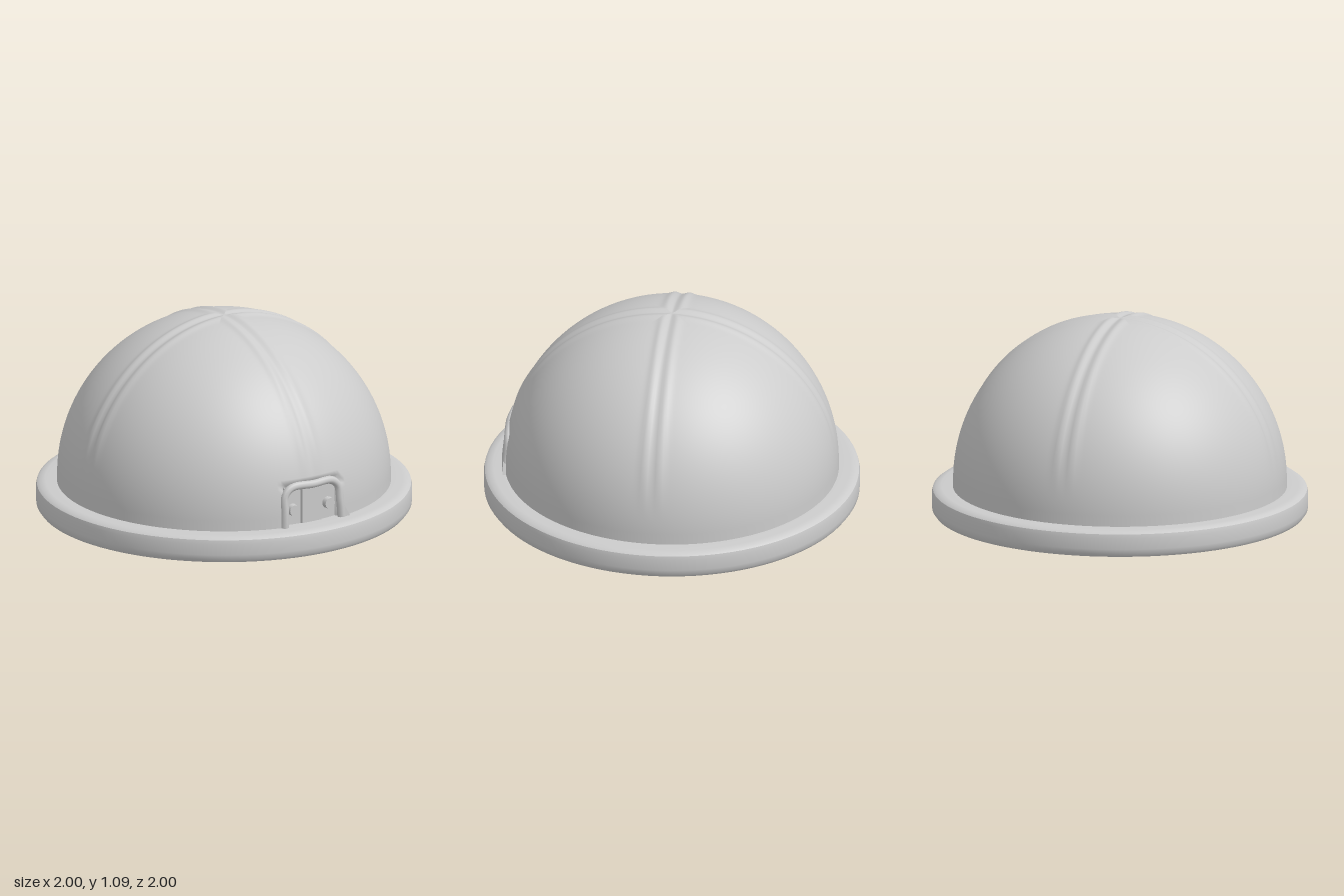
import * as THREE from 'three';
import { mergeVertices, toCreasedNormals } from 'three/addons/utils/BufferGeometryUtils.js';

const grey = new THREE.MeshStandardMaterial({ color: 0xcccccc, side: THREE.DoubleSide });
const R = 0.887, CY = 0.2;

function add(parent, name, geometry, x = 0, y = 0, z = 0) {
  const mesh = new THREE.Mesh(geometry, grey);
  mesh.name = name;
  mesh.position.set(x, y, z);
  parent.add(mesh);
  return mesh;
}

const lathe = (pts, n) => new THREE.LatheGeometry(pts.map(p => new THREE.Vector2(...p)), n);

// Depth of the dome's front surface at a given x, y
const domeZ = (x, y) => Math.sqrt(R * R - Math.max(0, y - CY) ** 2 - x * x);

// Dome with two crossing seams and a pressed-in window for the latch
function domeGeometry() {
  const pts = [[R + 0.002, 0.13]];
  for (let i = 0; i <= 56; i++) {
    const a = (i / 56) * Math.PI / 2;
    pts.push([R * Math.cos(a), CY + R * Math.sin(a)]);
  }
  let g = lathe(pts, 256);
  g.deleteAttribute('uv');
  g.deleteAttribute('normal');
  g = mergeVertices(g, 1e-4);
  const p = g.attributes.position;
  for (let i = 0; i < p.count; i++) {
    let x = p.getX(i), y = p.getY(i), z = p.getZ(i);
    const d = Math.min(Math.abs(x), Math.abs(z));
    const fade = THREE.MathUtils.smoothstep(y, 0.3, 0.6);
    const seam = 0.009 * Math.exp(-(((d - 0.04) / 0.022) ** 2)) - 0.003 * Math.exp(-((d / 0.015) ** 2));
    const k = 1 + fade * seam;
    x *= k;
    z *= k;
    y = CY + (y - CY) * k;
    if (z > 0 && Math.abs(x) < 0.17 && y < 0.375) z = Math.min(z, 0.825);
    p.setXYZ(i, x, y, z);
  }
  g.computeVertexNormals();
  return g;
}

// Curved block between two radii, lying flat and extruded upward
function arcBlock(r0, r1, a0, a1, h) {
  const s = new THREE.Shape();
  s.absarc(0, 0, r1, a0, a1, false);
  s.absarc(0, 0, r0, a1, a0, true);
  const g = new THREE.ExtrudeGeometry(s, {
    depth: h - 0.02, curveSegments: 6, bevelThickness: 0.01, bevelSize: 0.01, bevelSegments: 1,
  });
  return g.translate(0, 0, 0.01).rotateX(-Math.PI / 2);
}

function createLatch() {
  const latch = new THREE.Group();
  latch.name = 'latch';
  // Arched frame following the dome
  const path = [[-0.18, 0.15], [-0.178, 0.25], [-0.172, 0.34], [-0.13, 0.378], [0, 0.38],
    [0.12, 0.378], [0.162, 0.34], [0.172, 0.25], [0.18, 0.15]]
    .map(([x, y]) => new THREE.Vector3(x, y, domeZ(x, y) - 0.002));
  add(latch, 'latchFrame', new THREE.TubeGeometry(new THREE.CatmullRomCurve3(path), 48, 0.022, 8));
  // Recessed plate, raised centre strip and two bolts
  add(latch, 'latchPlate', new THREE.BoxGeometry(0.33, 0.23, 0.02), 0, 0.26, 0.825);
  add(latch, 'latchStrip', new THREE.BoxGeometry(0.12, 0.2, 0.03), 0, 0.26, 0.84);
  for (const x of [-0.115, 0.11]) {
    const bolt = new THREE.CylinderGeometry(0.03, 0.033, 0.05, 12).rotateX(Math.PI / 2);
    add(latch, 'latchBolt', bolt, x, 0.25, 0.84);
  }
  // Small wedge beside the frame
  const wedge = new THREE.Shape([[0, 0], [0.06, 0], [0.02, 0.07]].map(p => new THREE.Vector2(...p)));
  add(latch, 'latchWedge', new THREE.ExtrudeGeometry(wedge, { depth: 0.05, bevelEnabled: false }),
    0.17, 0.16, 0.83);
  return latch;
}

function createUnderside() {
  const under = new THREE.Group();
  under.name = 'underside';
  // Broken ring of blocks
  const n = 16, step = Math.PI * 2 / n;
  for (let i = 0; i < n; i++) {
    add(under, 'ringBlock', arcBlock(0.64, 0.73, i * step + 0.03, (i + 1) * step - 0.03, 0.11), 0, 0.025, 0);
  }
  // Grille hoop
  add(under, 'grilleHoop', toCreasedNormals(
    lathe([[0.54, 0.13], [0.54, 0.02], [0.555, 0.01], [0.585, 0.01], [0.6, 0.02], [0.6, 0.13]], 64), 0.6));
  // Crossing grille bars cut to the hoop
  for (const t of [-0.39, -0.13, 0.13, 0.39]) {
    const len = 2 * Math.sqrt(0.56 ** 2 - t * t);
    add(under, 'crossBar', new THREE.BoxGeometry(len, 0.05, 0.06), 0, 0.025, t);
  }
  for (const t of [-0.28, 0, 0.28]) {
    const len = 2 * Math.sqrt(0.56 ** 2 - t * t);
    add(under, 'longBar', new THREE.BoxGeometry(0.06, 0.05, len), t, 0.032, 0);
  }
  return under;
}

export function createModel() {
  const model = new THREE.Group();
  model.name = 'domedHousing';
  add(model, 'dome', domeGeometry());
  // Base rim with rounded edges and a recessed floor
  const rim = [[0, 0.13], [0.77, 0.13], [0.78, 0.04], [0.8, 0.022], [0.96, 0.022], [0.985, 0.027], [0.998, 0.045],
    [1, 0.07], [1, 0.13], [0.995, 0.152], [0.98, 0.163], [0.95, 0.167], [0.85, 0.167]];
  add(model, 'baseRim', toCreasedNormals(lathe(rim, 96), 0.7));
  model.add(createLatch(), createUnderside());
  return model;
}
